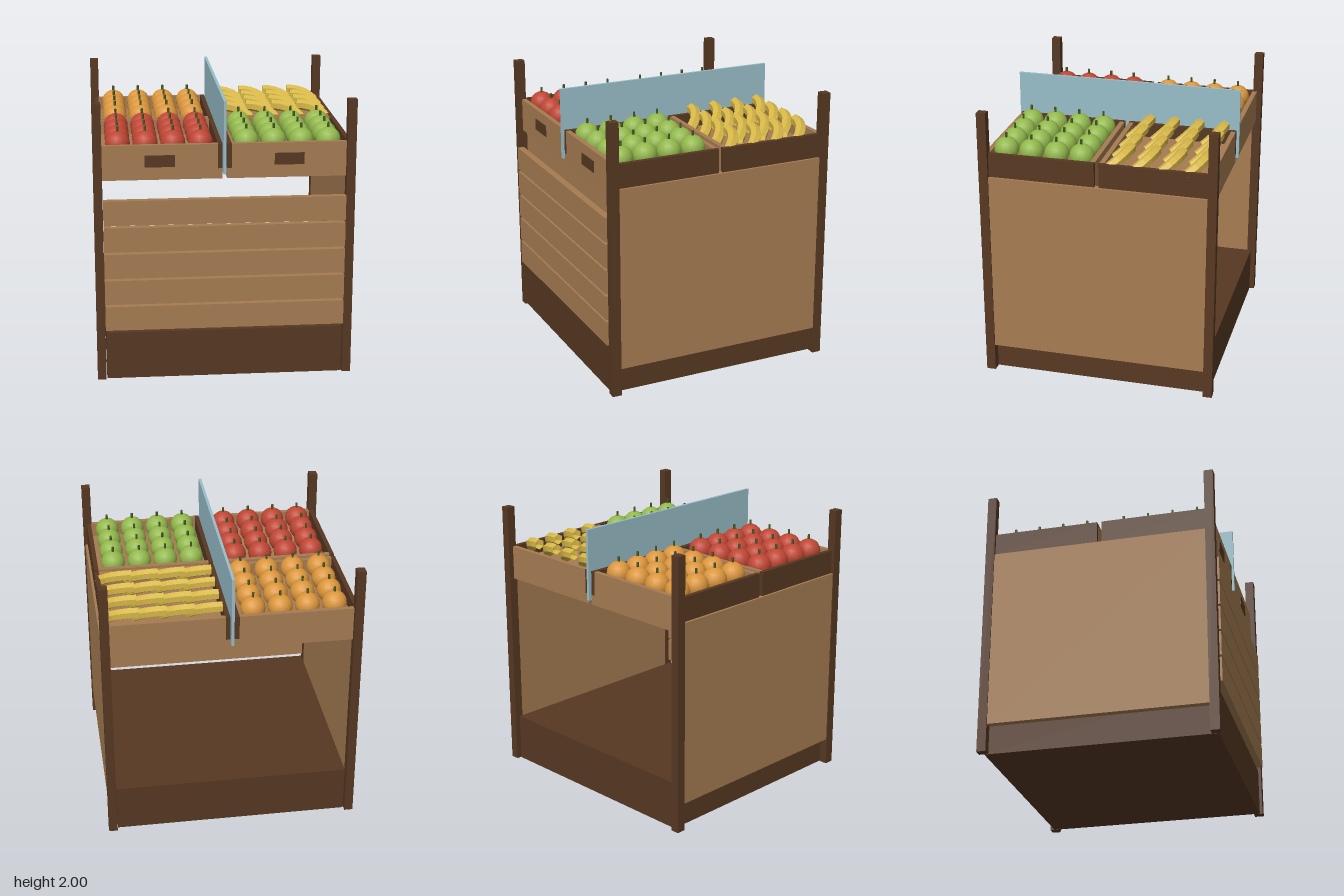
import * as THREE from 'three';

const mat = (name, color, extra = {}) => {
  const m = new THREE.MeshStandardMaterial({ color, ...extra });
  m.name = name;
  return m;
};

export function createModel() {
  const tan = mat('tanWood', 0xa67c52);
  const dark = mat('darkWood', 0x573822);
  const glass = mat('paleBlue', 0x98bec9);
  const red = mat('red', 0xbf4634);
  const green = mat('green', 0x92b84c);
  const orange = mat('orange', 0xdb963c);
  const yellow = mat('yellow', 0xd6b748, { flatShading: true, side: THREE.DoubleSide });
  const stemGreen = mat('stemGreen', 0x4a5a25);

  const model = new THREE.Group();
  model.name = 'produceStand';

  // Box given by its minimum and maximum on each axis
  const box = (parent, name, material, x0, x1, y0, y1, z0, z1) => {
    const mesh = new THREE.Mesh(new THREE.BoxGeometry(x1 - x0, y1 - y0, z1 - z0), material);
    mesh.position.set((x0 + x1) / 2, (y0 + y1) / 2, (z0 + z1) / 2);
    mesh.name = name;
    parent.add(mesh);
    return mesh;
  };

  // Frame: corner posts, base and side panels (the back is open)
  for (const s of [-1, 1]) {
    const [a, b] = s > 0 ? [0.845, 0.907] : [-0.907, -0.845];
    box(model, 'frontPost', dark, a, b, 0, 2, 0.768, 0.835);
    box(model, 'backPost', dark, a, b, 0, 2, -0.85, -0.785);
    const [c, d] = s > 0 ? [0.85, 0.9] : [-0.9, -0.85];
    box(model, 'sidePanel', tan, c, d, 0.2, 1.527, -0.785, 0.768);
  }
  box(model, 'base', dark, -0.84, 0.84, 0, 0.345, -0.815, 0.815);

  // Front slats
  for (let i = 0; i < 5; i++) {
    const y = 0.375 + i * 0.1925;
    box(model, 'frontSlat', tan, -0.843, 0.843, y, y + 0.176, 0.8, 0.85);
  }

  // Central divider
  box(model, 'divider', glass, -0.01, 0.01, 1.485, 2, -0.833, 0.817);

  // Crate: floor, tray, end boards, dark sides and a painted grip
  const crate = (s, z0, z1) => {
    const g = new THREE.Group();
    g.name = 'crate';
    const bx = (name, m, a, b, ...rest) =>
      box(g, name, m, s > 0 ? a : -b, s > 0 ? b : -a, ...rest);
    bx('crateFloor', tan, 0.016, 0.847, 1.455, 1.527, z0, z1);
    bx('crateTray', tan, 0.048, 0.85, 1.527, 1.6, z0 + 0.035, z1 - 0.035);
    bx('crateFront', tan, 0.048, 0.85, 1.527, 1.7, z1 - 0.035, z1);
    bx('crateBack', tan, 0.048, 0.85, 1.527, 1.7, z0, z0 + 0.035);
    bx('crateInnerSide', dark, 0.016, 0.048, 1.527, 1.7, z0, z1);
    bx('crateOuterSide', dark, 0.85, 0.882, 1.527, 1.7, z0, z1);
    bx('crateGrip', dark, 0.345, 0.552, 1.545, 1.628, z1, z1 + 0.006);
    model.add(g);
    return g;
  };

  // Round fruit with a short stem
  const fruitGeo = new THREE.SphereGeometry(0.087, 18, 10);
  const stemGeo = new THREE.CylinderGeometry(0.009, 0.009, 0.06, 5);
  const roundFruit = (name, material) => () => {
    const g = new THREE.Group();
    g.name = name;
    const body = new THREE.Mesh(fruitGeo, material);
    body.name = 'fruitBody';
    const stem = new THREE.Mesh(stemGeo, stemGreen);
    stem.name = 'stem';
    stem.position.y = 0.09;
    g.add(body, stem);
    return g;
  };

  // Banana: faceted bent tube, its left end raised
  const bananaCurve = new THREE.QuadraticBezierCurve3(
    new THREE.Vector3(-0.1, 0.055, -0.05),
    new THREE.Vector3(0.05, 0.055, -0.045),
    new THREE.Vector3(0.115, -0.03, 0.06)
  );
  const bananaGeo = new THREE.TubeGeometry(bananaCurve, 6, 0.04, 6, false);
  const banana = () => {
    const mesh = new THREE.Mesh(bananaGeo, yellow);
    mesh.name = 'banana';
    return mesh;
  };

  // Fill each crate with a four by four array
  const fill = (parent, make, s, zFirst) => {
    for (let i = 0; i < 4; i++) {
      for (let j = 0; j < 4; j++) {
        const item = make();
        item.position.set(s * (0.16 + i * 0.191), 1.69, zFirst + j * 0.1813);
        parent.add(item);
      }
    }
  };
  const front = [0.01, 0.8];
  const back = [-0.813, -0.022];
  fill(crate(-1, ...front), roundFruit('redApple', red), -1, 0.138);
  fill(crate(1, ...front), roundFruit('greenApple', green), 1, 0.138);
  fill(crate(-1, ...back), roundFruit('orangeFruit', orange), -1, -0.683);
  fill(crate(1, ...back), banana, 1, -0.683);

  return model;
}
